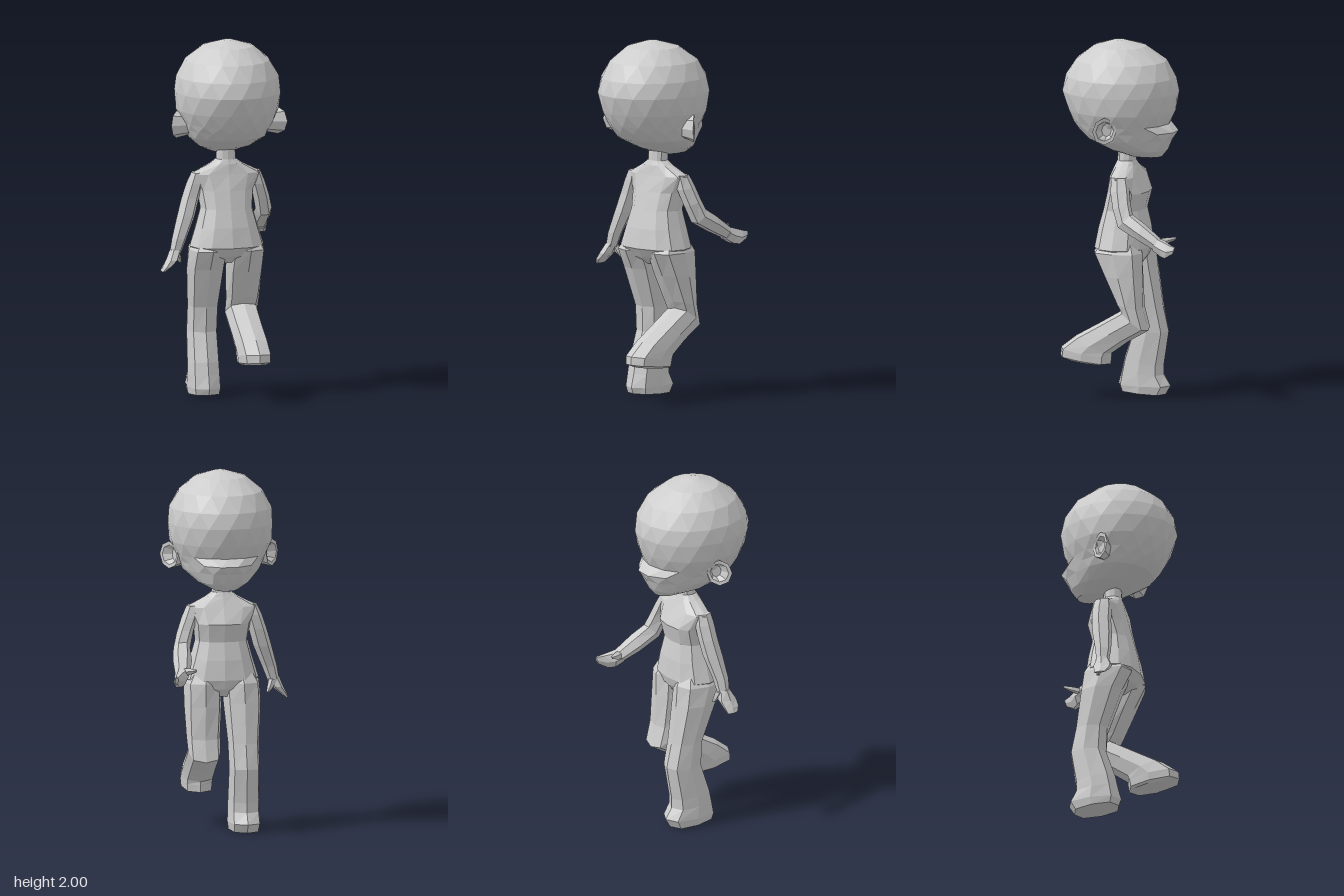
import * as THREE from 'three';

const grey = new THREE.MeshStandardMaterial({ color: 0xcccccc, flatShading: true });
grey.name = 'clayGrey';

// Closed faceted skin over a list of rings (each an array of Vector3), wound to face outward.
function loft(name, rings) {
  const n = rings[0].length, tris = [];
  for (let i = 0; i < rings.length - 1; i++) {
    for (let j = 0; j < n; j++) {
      const k = (j + 1) % n, a = rings[i], b = rings[i + 1];
      tris.push([a[j], b[j], b[k]], [a[j], b[k], a[k]]);
    }
  }
  const cap = (ring, flip) => {
    const c = ring.reduce((s, p) => s.add(p), new THREE.Vector3()).divideScalar(n);
    ring.forEach((p, j) => {
      const q = ring[(j + 1) % n];
      tris.push(flip ? [c, q, p] : [c, p, q]);
    });
  };
  cap(rings[0], false);
  cap(rings[rings.length - 1], true);
  const mid = rings[0][0];
  let volume = 0;
  for (const [a, b, c] of tris) {
    volume += a.clone().sub(mid).dot(b.clone().sub(mid).cross(c.clone().sub(mid)));
  }
  const pts = tris.flatMap(t => (volume < 0 ? [t[0], t[2], t[1]] : t));
  const geo = new THREE.BufferGeometry().setFromPoints(pts);
  geo.computeVertexNormals();
  const mesh = new THREE.Mesh(geo, grey);
  mesh.name = name;
  return mesh;
}

// Tilted oval ring: centre x, half width, front (y, z) and back (y, z). power < 1 makes it boxier.
function oval([cx, rx, yf, zf, yb, zb], sides, power = 1, twist = 0) {
  const bend = v => Math.sign(v) * Math.pow(Math.abs(v), power);
  return Array.from({ length: sides }, (_, j) => {
    const a = ((j + twist) / sides) * Math.PI * 2;
    const c = bend(Math.cos(a)), s = bend(Math.sin(a));
    return new THREE.Vector3(
      cx + rx * c,
      (yf + yb) / 2 + (s * (yb - yf)) / 2,
      (zf + zb) / 2 + (s * (zb - zf)) / 2
    );
  });
}
const body = (name, rows, sides, power) => loft(name, rows.map(r => oval(r, sides, power)));

export function createModel() {
  const model = new THREE.Group();
  model.name = 'figure';
  const cx = 0.025;

  // Large round head of staggered facets; the middle of the lower face juts forward as a shelf.
  // Rows: y, half width, front z, back z, jut
  const headRows = [
    [2.0, 0.03, 0.03, 0.09, 0],
    [1.967, 0.143, -0.09, 0.2, 0],
    [1.89, 0.233, -0.207, 0.303, 0],
    [1.8, 0.282, -0.262, 0.358, 0],
    [1.715, 0.293, -0.277, 0.378, 0],
    [1.615, 0.283, -0.257, 0.347, 0],
    [1.545, 0.253, -0.23, 0.312, 0],
    [1.505, 0.235, -0.205, 0.282, 0.072],
    [1.46, 0.215, -0.185, 0.238, 0.065],
    [1.4, 0.147, -0.16, 0.11, 0.06],
    [1.36, 0.065, -0.15, -0.01, 0.04],
  ];
  model.add(loft('head', headRows.map(([y, rx, zf, zb, jut], i) => {
    const ring = oval([cx, rx, y, zf, y, zb], 16, 1, -i / 2);
    for (const p of ring) {
      const across = (p.x - cx) / 0.17;
      if (p.z < (zf + zb) / 2) p.z -= jut * Math.max(0, 1 - across ** 4);
    }
    return ring;
  })));

  // Cupped ears, flaring outward toward the back of the head
  for (const side of [1, -1]) {
    const ring = (out, flare, size) => Array.from({ length: 8 }, (_, j) => {
      const a = (j / 8) * Math.PI * 2, s = Math.sin(a);
      return new THREE.Vector3(
        cx + side * (out + flare * s),
        1.535 + 0.076 * size * Math.cos(a),
        0.042 + 0.056 * size * s
      );
    });
    model.add(loft(side > 0 ? 'leftEar' : 'rightEar', [
      ring(0.22, 0, 0.8), ring(0.288, 0.042, 1), ring(0.285, 0.034, 0.72), ring(0.255, 0.01, 0.45),
    ]));
  }

  // Neck, shoulders, chest, waist and hips, narrowing to the crotch
  const torsoRows = [
    [1.4, 0.052, -0.04, 0.06],
    [1.33, 0.055, -0.035, 0.065],
    [1.305, 0.09, -0.045, 0.075],
    [1.25, 0.2, -0.07, 0.085],
    [1.16, 0.16, -0.115, 0.11],
    [1.06, 0.147, -0.09, 0.135],
    [0.96, 0.175, -0.11, 0.162],
    [0.85, 0.21, -0.12, 0.18],
    [0.8, 0.15, -0.105, 0.145],
    [0.755, 0.06, -0.07, 0.08],
  ];
  model.add(body('torso', torsoRows.map(([y, rx, zf, zb]) => [cx, rx, y, zf, y, zb]), 12, 0.85));

  // Right leg, standing, with a trouser flare and foot
  model.add(body('rightLeg', [
    [-0.07, 0.075, 0.9, -0.08, 0.9, 0.12],
    [-0.082, 0.105, 0.83, -0.118, 0.83, 0.165],
    [-0.086, 0.105, 0.72, -0.128, 0.72, 0.105],
    [-0.085, 0.087, 0.5, -0.158, 0.5, 0.02],
    [-0.087, 0.085, 0.36, -0.19, 0.36, 0.015],
    [-0.09, 0.088, 0.17, -0.16, 0.2, 0.07],
    [-0.09, 0.09, 0.115, -0.16, 0.13, 0.085],
    [-0.09, 0.092, 0.055, -0.2, 0.055, 0.105],
    [-0.09, 0.085, 0.005, -0.17, 0.02, 0.09],
  ], 8, 0.75));

  // Left leg, kicked back at the knee, sole level behind the body
  model.add(body('leftLeg', [
    [0.12, 0.075, 0.9, -0.08, 0.9, 0.12],
    [0.132, 0.103, 0.83, -0.115, 0.83, 0.168],
    [0.132, 0.104, 0.7, -0.115, 0.7, 0.1],
    [0.136, 0.094, 0.52, -0.12, 0.55, 0.02],
    [0.134, 0.091, 0.4, -0.15, 0.51, -0.005],
    [0.132, 0.09, 0.33, -0.03, 0.43, 0.13],
    [0.132, 0.09, 0.26, 0.065, 0.35, 0.27],
    [0.132, 0.09, 0.24, 0.065, 0.28, 0.36],
    [0.132, 0.085, 0.2, 0.07, 0.235, 0.365],
    [0.132, 0.07, 0.195, 0.1, 0.215, 0.31],
  ], 8, 0.75));

  // Right arm, hanging beside the body
  model.add(body('rightArm', [
    [-0.14, 0.032, 1.258, -0.03, 1.258, 0.06],
    [-0.153, 0.047, 1.2, -0.04, 1.2, 0.07],
    [-0.178, 0.05, 1.12, -0.035, 1.12, 0.075],
    [-0.207, 0.051, 1.02, -0.02, 1.02, 0.09],
    [-0.25, 0.042, 0.9, 0.012, 0.9, 0.1],
    [-0.273, 0.033, 0.82, 0.025, 0.82, 0.095],
  ], 6));
  model.add(body('rightFingers', [
    [-0.272, 0.034, 0.84, 0.03, 0.84, 0.095],
    [-0.295, 0.034, 0.785, 0.015, 0.785, 0.125],
    [-0.325, 0.022, 0.75, 0.025, 0.75, 0.125],
    [-0.348, 0.01, 0.722, 0.035, 0.722, 0.105],
  ], 6));
  model.add(body('rightThumb', [
    [-0.268, 0.025, 0.83, 0.015, 0.83, 0.06],
    [-0.25, 0.018, 0.785, 0.01, 0.785, 0.045],
    [-0.236, 0.008, 0.76, 0.012, 0.76, 0.03],
  ], 5));

  // Left arm, reaching forward
  model.add(body('leftArm', [
    [0.19, 0.032, 1.258, -0.045, 1.258, 0.045],
    [0.208, 0.045, 1.2, -0.065, 1.18, 0.045],
    [0.236, 0.046, 1.13, -0.08, 1.09, 0.02],
    [0.258, 0.047, 1.07, -0.1, 0.99, -0.02],
    [0.27, 0.053, 1.025, -0.17, 0.925, -0.15],
    [0.286, 0.041, 0.95, -0.275, 0.88, -0.25],
  ], 6));
  model.add(body('leftFingers', [
    [0.286, 0.041, 0.955, -0.26, 0.88, -0.235],
    [0.298, 0.038, 0.945, -0.3, 0.85, -0.285],
    [0.322, 0.024, 0.93, -0.345, 0.845, -0.315],
    [0.336, 0.01, 0.92, -0.38, 0.875, -0.365],
  ], 6));
  model.add(body('leftThumb', [
    [0.275, 0.025, 0.95, -0.265, 0.9, -0.25],
    [0.247, 0.022, 0.955, -0.31, 0.915, -0.295],
    [0.224, 0.007, 0.955, -0.35, 0.935, -0.34],
  ], 5));

  return model;
}
